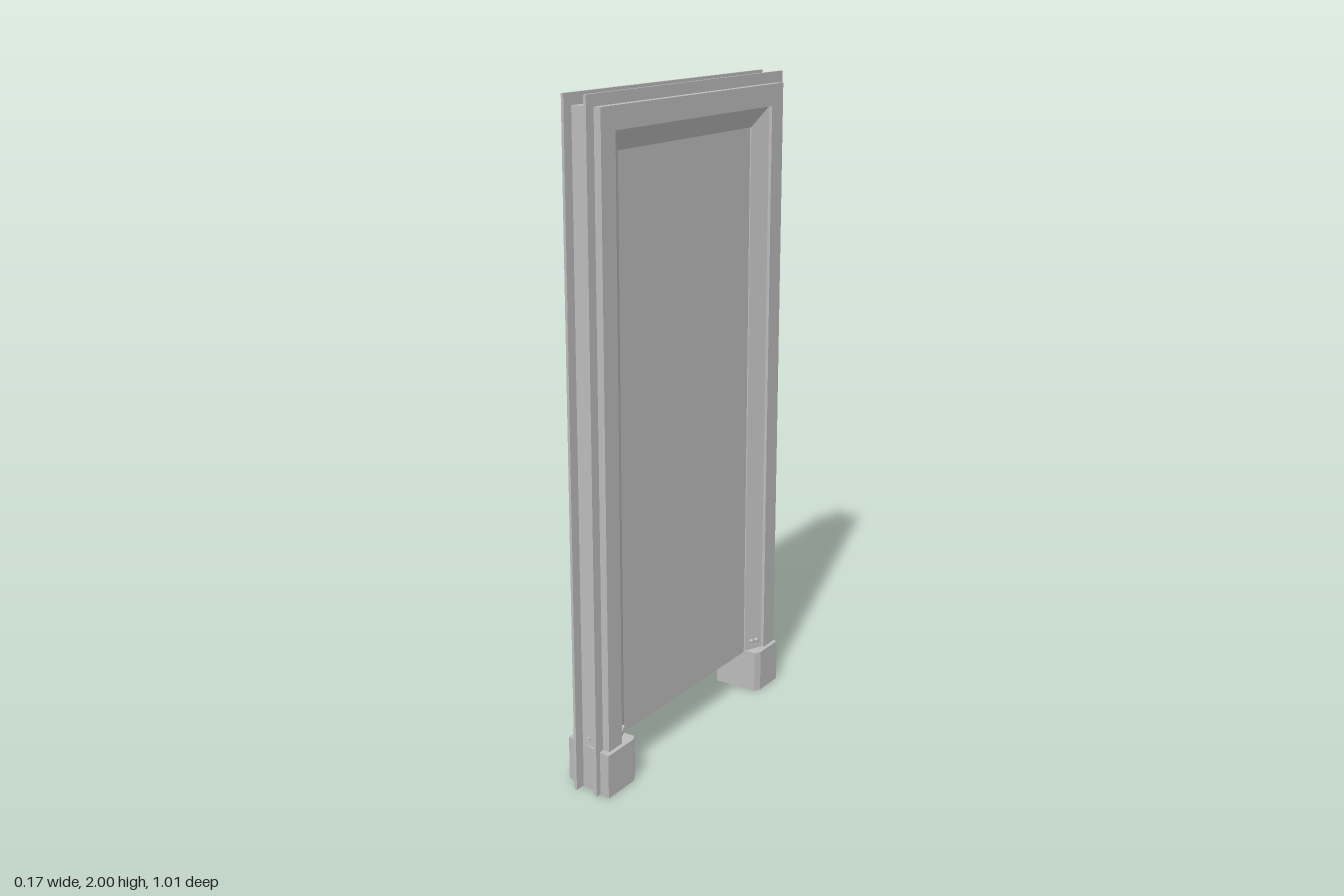
import * as THREE from 'three';

const grey = new THREE.MeshStandardMaterial({ color: 0xbcbcbc });
grey.name = 'painted grey';

// Sweeps a closed section of [half width, x] points up one leg, across the head and down the other, with mitred corners
function archGeometry(section, y0) {
  const rise = 1.5; // head height above the half width
  const rings = [
    section.map(([h, x]) => [x, y0, h]),
    section.map(([h, x]) => [x, h + rise, h]),
    section.map(([h, x]) => [x, h + rise, -h]),
    section.map(([h, x]) => [x, y0, -h]),
  ];
  const pos = [];
  const tri = (a, b, c) => pos.push(...a, ...b, ...c);
  for (let r = 0; r < 3; r++) {
    section.forEach((_, i) => {
      const j = (i + 1) % section.length;
      const a = rings[r][i], b = rings[r][j], c = rings[r + 1][j], d = rings[r + 1][i];
      tri(a, b, c);
      tri(a, c, d);
    });
  }
  // Bottom ends of both legs
  const contour = section.map(([h, x]) => new THREE.Vector2(h, x));
  for (const [a, b, c] of THREE.ShapeUtils.triangulateShape(contour, [])) {
    tri(rings[0][c], rings[0][b], rings[0][a]);
    tri(rings[3][a], rings[3][b], rings[3][c]);
  }
  const geometry = new THREE.BufferGeometry();
  geometry.setAttribute('position', new THREE.Float32BufferAttribute(pos, 3));
  geometry.computeVertexNormals();
  return geometry;
}

function add(parent, name, geometry, x = 0, y = 0, z = 0) {
  const mesh = new THREE.Mesh(geometry, grey);
  mesh.name = name;
  mesh.position.set(x, y, z);
  parent.add(mesh);
  return mesh;
}

// Extrudes a floor outline of [x, z] points upwards
function extrudeUp(outline, height, hole) {
  const toPoints = (list) => list.map(([x, z]) => new THREE.Vector2(x, -z));
  const shape = new THREE.Shape(toPoints(outline));
  if (hole) shape.holes.push(new THREE.Path(toPoints(hole)));
  return new THREE.ExtrudeGeometry(shape, { depth: height, bevelEnabled: false }).rotateX(-Math.PI / 2);
}

// Hollow sleeve with a thin lid around the bottom of a jamb
function makeFoot(name, outline) {
  const foot = new THREE.Group();
  foot.name = name;
  const cz = outline.reduce((sum, p) => sum + p[1], 0) / outline.length;
  const inner = outline.map(([x, z]) => [x * 0.92, cz + (z - cz) * 0.9]);
  add(foot, 'footSleeve', extrudeUp(outline, 0.13, inner));
  add(foot, 'footLid', extrudeUp(outline, 0.005), 0, 0.13, 0);
  return foot;
}

export function createModel() {
  const model = new THREE.Group();
  model.name = 'doorway';

  // Frame with a bevelled casing on one face and a rebate and stop on the other
  add(model, 'frame', archGeometry([
    [0.47, 0.07], [0.405, 0.07], [0.405, 0.06], [0.345, 0.034], [0.345, 0.03],
    [0.393, 0.03], [0.393, -0.08], [0.43, -0.08], [0.43, -0.045], [0.47, -0.045],
  ], 0.13));

  // Two thin flanges standing out around the frame
  for (const x of [-0.028, 0.044]) {
    add(model, 'flange', archGeometry([
      [0.503, x + 0.004], [0.44, x + 0.004], [0.44, x - 0.004], [0.503, x - 0.004],
    ], 0));
  }

  // Door leaf
  add(model, 'doorLeaf', new THREE.BoxGeometry(0.06, 1.763, 0.786), 0, 1.0115, 0);

  // Feet
  const frontFoot = [
    [-0.085, 0.457], [0.083, 0.492], [0.083, 0.365], [0.072, 0.347], [-0.074, 0.347], [-0.085, 0.365],
  ];
  const backFoot = [
    [-0.085, -0.455], [-0.085, -0.365], [-0.074, -0.345], [0.072, -0.345], [0.083, -0.365], [0.083, -0.47], [0.05, -0.475],
  ];
  model.add(makeFoot('frontFoot', frontFoot), makeFoot('backFoot', backFoot));

  // Small screws low on the jambs
  for (const side of [1, -1]) {
    const edge = add(model, 'edgeScrew', new THREE.CylinderGeometry(0.005, 0.005, 0.01, 12), 0, 0.16, side * 0.473);
    edge.rotation.x = Math.PI / 2;
    for (const [z, x] of [[0.385, 0.054], [0.367, 0.046]]) {
      const screw = add(model, 'bevelScrew', new THREE.CylinderGeometry(0.006, 0.006, 0.014, 12), x, 0.165, side * z);
      screw.rotation.z = Math.PI / 2;
    }
  }
  return model;
}
